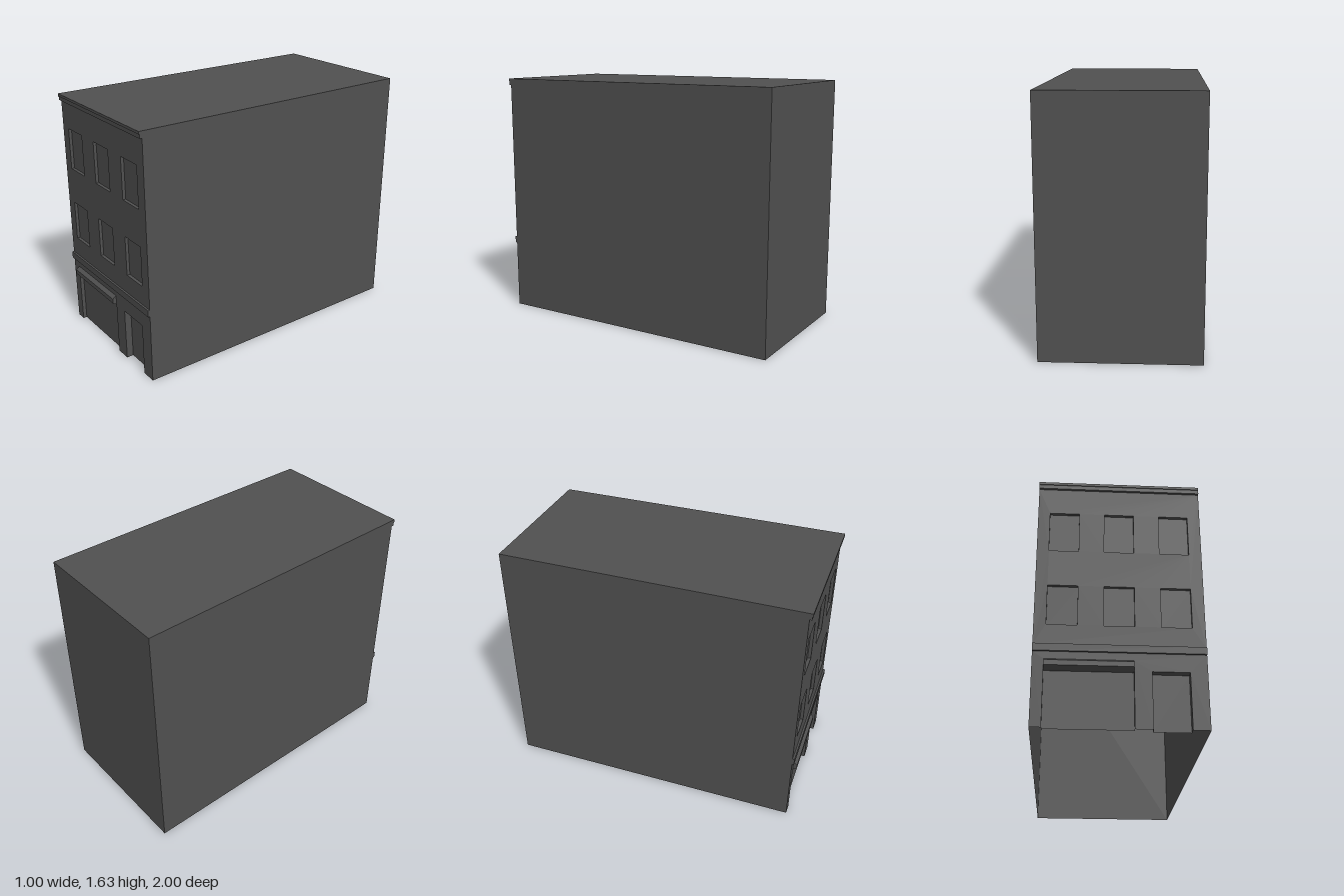
import * as THREE from 'three';

const HALF = 0.5, BACK = -1, WALL = 0.975, TOP = 1.63;
const material = new THREE.MeshStandardMaterial({ color: 0x505050, side: THREE.DoubleSide, flatShading: true });

// Mesh from convex polygons, corners counter-clockwise seen from outside
function faces(name, polygons) {
  const positions = [];
  for (const p of polygons)
    for (let i = 1; i < p.length - 1; i++) positions.push(...p[0], ...p[i], ...p[i + 1]);
  const geometry = new THREE.BufferGeometry();
  geometry.setAttribute('position', new THREE.Float32BufferAttribute(positions, 3));
  geometry.computeVertexNormals();
  const mesh = new THREE.Mesh(geometry, material);
  mesh.name = name;
  return mesh;
}

// Hollow moulding: [z, y] profile from top to bottom swept along x, with end caps
function moulding(name, x0, x1, profile) {
  const polygons = [];
  for (let i = 0; i < profile.length - 1; i++) {
    const [za, ya] = profile[i], [zb, yb] = profile[i + 1];
    polygons.push([[x0, yb, zb], [x1, yb, zb], [x1, ya, za], [x0, ya, za]]);
  }
  polygons.push(profile.map(([z, y]) => [x1, y, z]));
  polygons.push(profile.map(([z, y]) => [x0, y, z]).reverse());
  return faces(name, polygons);
}

// Recessed panel with its reveals; openings that reach the ground have no sill
function recess(name, { x0, x1, y0, y1 }, depth) {
  const f = WALL, b = WALL - depth;
  const polygons = [
    [[x0, y0, b], [x1, y0, b], [x1, y1, b], [x0, y1, b]],
    [[x0, y0, f], [x0, y0, b], [x0, y1, b], [x0, y1, f]],
    [[x1, y0, b], [x1, y0, f], [x1, y1, f], [x1, y1, b]],
    [[x0, y1, f], [x0, y1, b], [x1, y1, b], [x1, y1, f]],
  ];
  if (y0 > 0) polygons.push([[x0, y0, b], [x0, y0, f], [x1, y0, f], [x1, y0, b]]);
  return faces(name, polygons);
}

// Flat wall panel on the facade plane
function panel(name, outline, openings = []) {
  const shape = new THREE.Shape(outline.map(([x, y]) => new THREE.Vector2(x, y)));
  for (const { x0, x1, y0, y1 } of openings)
    shape.holes.push(new THREE.Path([[x0, y0], [x0, y1], [x1, y1], [x1, y0]].map(([x, y]) => new THREE.Vector2(x, y))));
  const mesh = new THREE.Mesh(new THREE.ShapeGeometry(shape), material);
  mesh.position.z = WALL;
  mesh.name = name;
  return mesh;
}

export function createModel() {
  const model = new THREE.Group();
  model.name = 'building';
  const h = HALF;

  // Side walls, back wall and roof; the underside stays open
  model.add(
    faces('leftWall', [[[h, 0, WALL], [h, 0, BACK], [h, TOP, BACK], [h, TOP, WALL]]]),
    faces('rightWall', [[[-h, 0, BACK], [-h, 0, WALL], [-h, TOP, WALL], [-h, TOP, BACK]]]),
    faces('backWall', [[[h, 0, BACK], [-h, 0, BACK], [-h, TOP, BACK], [h, TOP, BACK]]]),
    faces('roof', [[[-h, TOP, WALL], [h, TOP, WALL], [h, TOP, BACK], [-h, TOP, BACK]]]),
  );

  // Upper facade with two rows of three windows
  const windows = [];
  for (const [y0, y1] of [[0.633, 0.896], [1.137, 1.41]])
    for (const x of [-0.337, -0.003, 0.333])
      windows.push({ x0: x - 0.09, x1: x + 0.09, y0, y1 });
  model.add(panel('upperFacade', [[-h, 0.505], [h, 0.505], [h, 1.587], [-h, 1.587]], windows));
  for (const w of windows) model.add(recess('window', w, 0.02));

  // Ground floor facade, notched for the shopfront with its awning and for the door
  const shop = { x0: -0.433, x1: 0.08, y0: 0, y1: 0.35 };
  const door = { x0: 0.183, x1: 0.399, y0: 0, y1: 0.348 };
  const awningTop = 0.414;
  model.add(
    panel('groundFacade', [
      [-h, 0], [shop.x0, 0], [shop.x0, awningTop], [shop.x1, awningTop], [shop.x1, 0],
      [door.x0, 0], [door.x0, door.y1], [door.x1, door.y1], [door.x1, 0],
      [h, 0], [h, 0.46], [-h, 0.46],
    ]),
    recess('shopfront', shop, 0.025),
    recess('door', door, 0.045),
  );

  // Awning, string course and stepped cornice
  model.add(
    moulding('awning', shop.x0, shop.x1, [[WALL, awningTop], [1, 0.396], [1, 0.365], [WALL, 0.35]]),
    moulding('stringCourse', -h, h, [[WALL, 0.505], [0.988, 0.505], [0.988, 0.46], [WALL, 0.46]]),
    moulding('cornice', -h, h, [
      [WALL, TOP], [0.995, TOP], [0.995, 1.613], [0.99, 1.613], [0.99, 1.587], [WALL, 1.587],
    ]),
  );
  return model;
}
